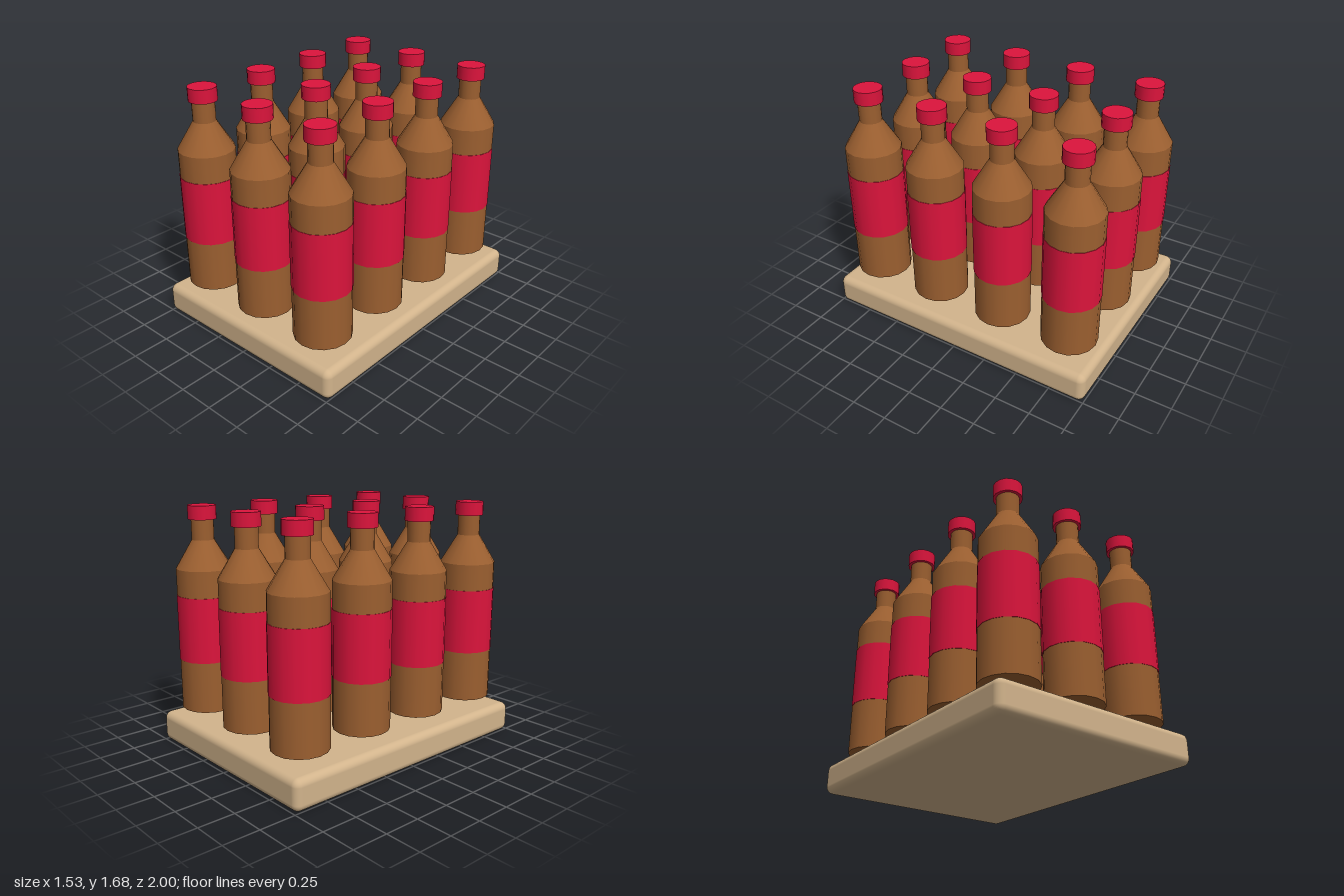
import * as THREE from 'three';
import { RoundedBoxGeometry } from 'three/addons/geometries/RoundedBoxGeometry.js';

const SIDES = 16;
const PITCH = 0.51;

export function createModel() {
  const model = new THREE.Group();
  model.name = 'bottleTray';

  const tan = new THREE.MeshStandardMaterial({ color: 0xd2b48c });
  const brown = new THREE.MeshStandardMaterial({ color: 0x9b5f30 });
  const red = new THREE.MeshStandardMaterial({ color: 0xdc143c });

  // Tray with softened edges
  const tray = new THREE.Mesh(new RoundedBoxGeometry(1.53, 0.213, 2, 4, 0.05), tan);
  tray.name = 'tray';
  tray.position.y = 0.1065;
  model.add(tray);

  // Bottle sections: name, bottom y, top y, bottom radius, top radius, material
  const sections = [
    ['body', 0.28, 1.26, 0.19, 0.19, brown],
    ['shoulder', 1.26, 1.45, 0.19, 0.076, brown],
    ['neck', 1.45, 1.59, 0.076, 0.076, brown],
    ['label', 0.632, 1.078, 0.193, 0.193, red],
    ['cap', 1.587, 1.68, 0.096, 0.096, red],
  ].map(([name, y0, y1, r0, r1, material]) => {
    const geometry = new THREE.CylinderGeometry(r1, r0, y1 - y0, SIDES);
    geometry.translate(0, (y0 + y1) / 2, 0);
    return { name, geometry, material };
  });

  // Three columns by four rows of bottles
  for (let row = 0; row < 4; row++) {
    for (let col = 0; col < 3; col++) {
      const bottle = new THREE.Group();
      bottle.name = `bottle${row * 3 + col + 1}`;
      for (const { name, geometry, material } of sections) {
        const part = new THREE.Mesh(geometry, material);
        part.name = name;
        bottle.add(part);
      }
      bottle.position.set((col - 1) * PITCH, 0, (row - 1.5) * PITCH);
      model.add(bottle);
    }
  }
  return model;
}
